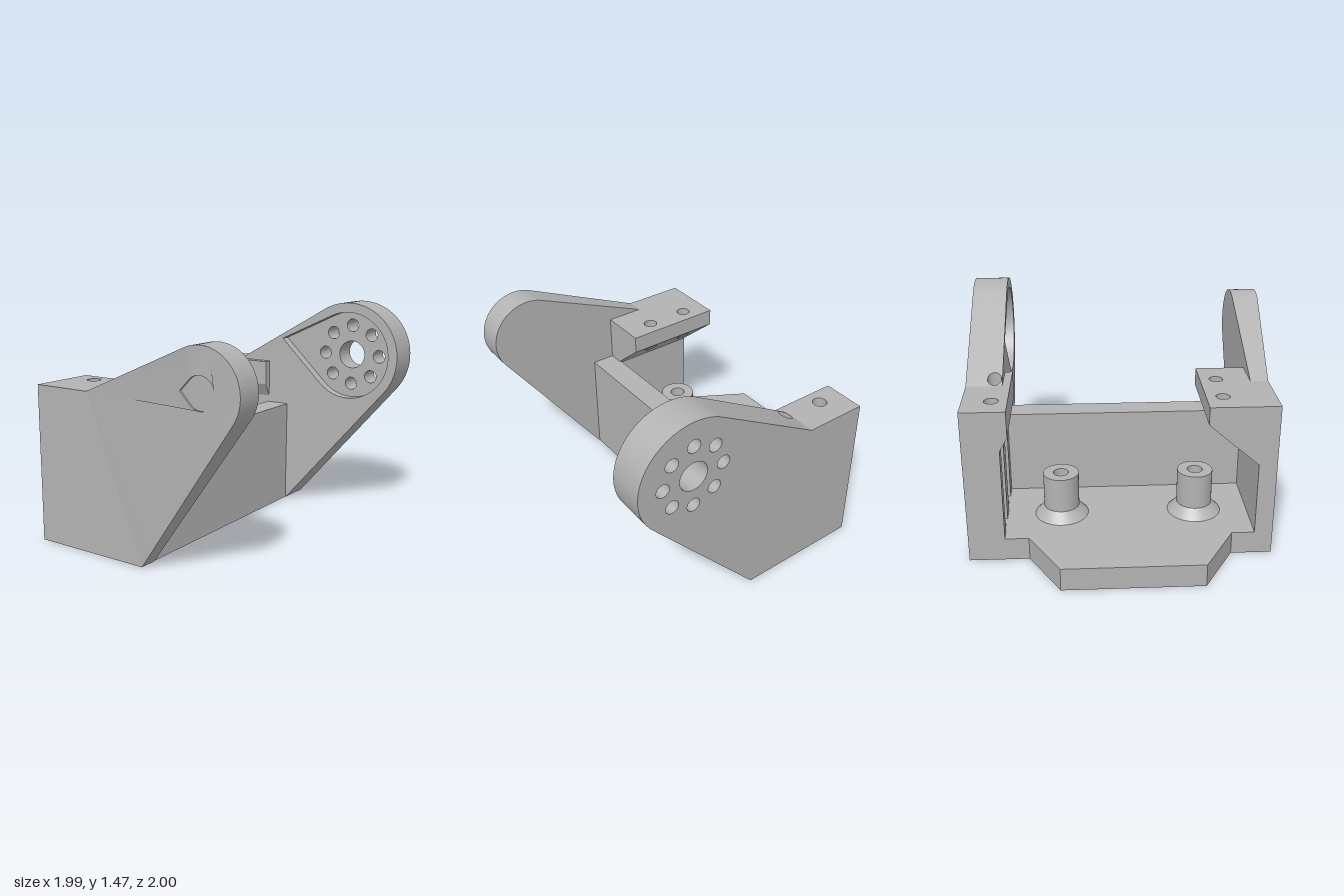
import * as THREE from 'three';
import { toCreasedNormals } from 'three/addons/utils/BufferGeometryUtils.js';

const PIVOT = [0.64, 1.11]; // z, y of the arm axis

// Arc around the pivot, tangent to lines that arrive from low and leave to high
function tangentArc(r, low, high, n = 40) {
  const tangent = (p, side) => {
    const dz = PIVOT[0] - p[0], dy = PIVOT[1] - p[1];
    return Math.atan2(dy, dz) + side * (Math.asin(r / Math.hypot(dz, dy)) + Math.PI / 2);
  };
  const a = tangent(low, -1), b = tangent(high, 1);
  return Array.from({ length: n + 1 }, (_, i) => {
    const t = a + (b - a) * i / n;
    return [PIVOT[0] + r * Math.cos(t), PIVOT[1] + r * Math.sin(t)];
  });
}

const teardrop = (r, tip = [PIVOT[0] - r * 1.415, PIVOT[1]]) => [tip, ...tangentArc(r, tip, tip)];

function circle(u, v, r, n = 24) {
  return Array.from({ length: n }, (_, i) => {
    const t = i / n * Math.PI * 2;
    return [u + r * Math.cos(t), v + r * Math.sin(t)];
  });
}

function extrude(points, holes, depth) {
  const vec = list => list.map(p => new THREE.Vector2(...p));
  const shape = new THREE.Shape(vec(points));
  holes.forEach(h => shape.holes.push(new THREE.Path(vec(h))));
  return new THREE.ExtrudeGeometry(shape, { depth, bevelEnabled: false });
}

// Side profile in (z, y), running from x0 to x1
const sideways = (points, x0, x1, holes = []) =>
  extrude(points, holes, x1 - x0).rotateY(-Math.PI / 2).translate(x1, 0, 0);

// Plan in (x, z), running from y0 to y1
const upright = (points, y0, y1, holes = []) =>
  extrude(points, holes, y1 - y0).rotateX(Math.PI / 2).translate(0, y1, 0);

const rect = (x0, x1, z0, z1) => [[x0, z0], [x1, z0], [x1, z1], [x0, z1]];

function moveVertices(geometry, rule) {
  const p = geometry.attributes.position, v = new THREE.Vector3();
  for (let i = 0; i < p.count; i++) {
    rule(v.fromBufferAttribute(p, i));
    p.setXYZ(i, v.x, v.y, v.z);
  }
  return geometry;
}

export function createModel() {
  const model = new THREE.Group();
  model.name = 'servoBracket';
  const gray = new THREE.MeshStandardMaterial({ color: 0xb3b3b3 });
  gray.name = 'gray plastic';

  const add = (name, geometry) => {
    const mesh = new THREE.Mesh(toCreasedNormals(geometry, 0.4), gray);
    mesh.name = name;
    model.add(mesh);
  };

  const studs = [[-0.47, -0.33], [0.405, -0.33]];
  const leftScrews = [[0.81, -0.48], [0.81, -0.19]];
  const rightScrews = [[-0.605, -0.48], [-0.605, -0.19]];
  const round = list => list.map(([x, z]) => circle(x, z, 0.045));

  // Floor: hexagonal nut pockets below, round screw holes above
  const floor = [[-0.82, 0], [-0.82, -0.65], [-0.675, -0.65], [-0.47, -1], [0.41, -1],
    [0.61, -0.65], [0.99, -0.65], [0.99, -0.1], [0.76, -0.1], [0.76, 0]];
  const bolts = [...studs, ...leftScrews];
  add('floorNutPockets', upright(floor, 0, 0.08, bolts.map(([x, z]) => circle(x, z, 0.083, 6))));
  add('floor', upright(floor, 0.08, 0.15, round(bolts)));

  // Front wall
  add('frontWall', upright(rect(-0.82, 0.76, 0, 0.165), 0, 0.715));

  // Hollow studs with conical feet
  for (const [x, z] of studs) {
    const profile = [[0.175, 0.15], [0.115, 0.215], [0.115, 0.445], [0.05, 0.445], [0.05, 0.15]];
    const stud = new THREE.LatheGeometry(profile.map(p => new THREE.Vector2(...p)), 40);
    add('stud', stud.translate(x, 0, z));
  }

  // Left arm: inner layer with the horn recess, outer layer with the ring of holes
  const shoulder = [-0.24, 1.02], toe = [0.17, 0], arc = tangentArc(0.365, toe, shoulder);
  const top = arc[arc.length - 1];
  const slope = (top[1] - shoulder[1]) / (top[0] - shoulder[0]);
  const topAt = z => shoulder[1] + Math.max(0, z - shoulder[0]) * slope;
  const leftProfile = [toe, ...arc, [-0.1, topAt(-0.1)], [-0.1, 0]];
  const ring = Array.from({ length: 8 }, (_, i) => {
    const t = i * Math.PI / 4;
    return circle(PIVOT[0] + 0.205 * Math.cos(t), PIVOT[1] + 0.205 * Math.sin(t), 0.044);
  });
  add('leftArmRecess', sideways(leftProfile, 0.76, 0.83, [teardrop(0.3, [0.12, 1.195])]));
  add('leftArm', sideways(leftProfile, 0.83, 0.99, [circle(...PIVOT, 0.095, 32), ...ring]));

  // Left wall: back strip and columns that leave two screw grooves
  add('leftWall', upright(rect(0.87, 0.99, -0.65, -0.1), 0.15, 0.85));
  for (const [z0, z1] of [[-0.65, -0.56], [-0.4, -0.28]]) {
    add('leftColumn', upright(rect(0.76, 0.87, z0, z1), 0.15, 0.85));
  }

  // Left cap, whose front part follows the sloping arm
  [[-0.65, -0.24], [-0.24, -0.1]].forEach(([z0, z1], i) => {
    const cap = upright(rect(0.76, 0.99, z0, z1), 0.85, 1.02, round([leftScrews[i]]));
    add('leftCap', moveVertices(cap, v => { if (v.y > 1) v.y = topAt(v.z); }));
  });

  // Left lip with a chamfered underside
  const lip = upright(rect(0.71, 0.76, -0.65, 0.01), 0.85, 1.02);
  add('leftLip', moveVertices(lip, v => { if (v.y < 0.9 && v.x > 0.74) v.y = 0.76; }));

  // Right wall
  add('rightWall', sideways([toe, shoulder, [-0.65, 1.02], [-0.65, 0]], -0.935, -0.82));

  // Right ledge with a sloping underside
  const ledge = upright(rect(-0.82, -0.5, -0.65, 0.01), 0.8, 1.02, round(rightScrews));
  add('rightLedge', moveVertices(ledge, v => {
    if (v.y < 0.9) v.y = 0.905 + (v.x + 0.5) * 0.864;
  }));

  // Right arm: outer face flares out towards the pivot
  const rightProfile = [toe, ...tangentArc(0.26, toe, shoulder), shoulder];
  add('rightArm', sideways(rightProfile, -0.87, -0.82, [teardrop(0.052)]));
  const flare = sideways(rightProfile, -0.935, -0.87, [teardrop(0.098)]);
  add('rightArmFlare', moveVertices(flare, v => {
    const distance = (v.z - toe[0]) * 0.928 + v.y * 0.373;
    if (v.x < -0.9) v.x -= 0.065 * Math.min(1, distance / 0.85);
  }));

  return model;
}
